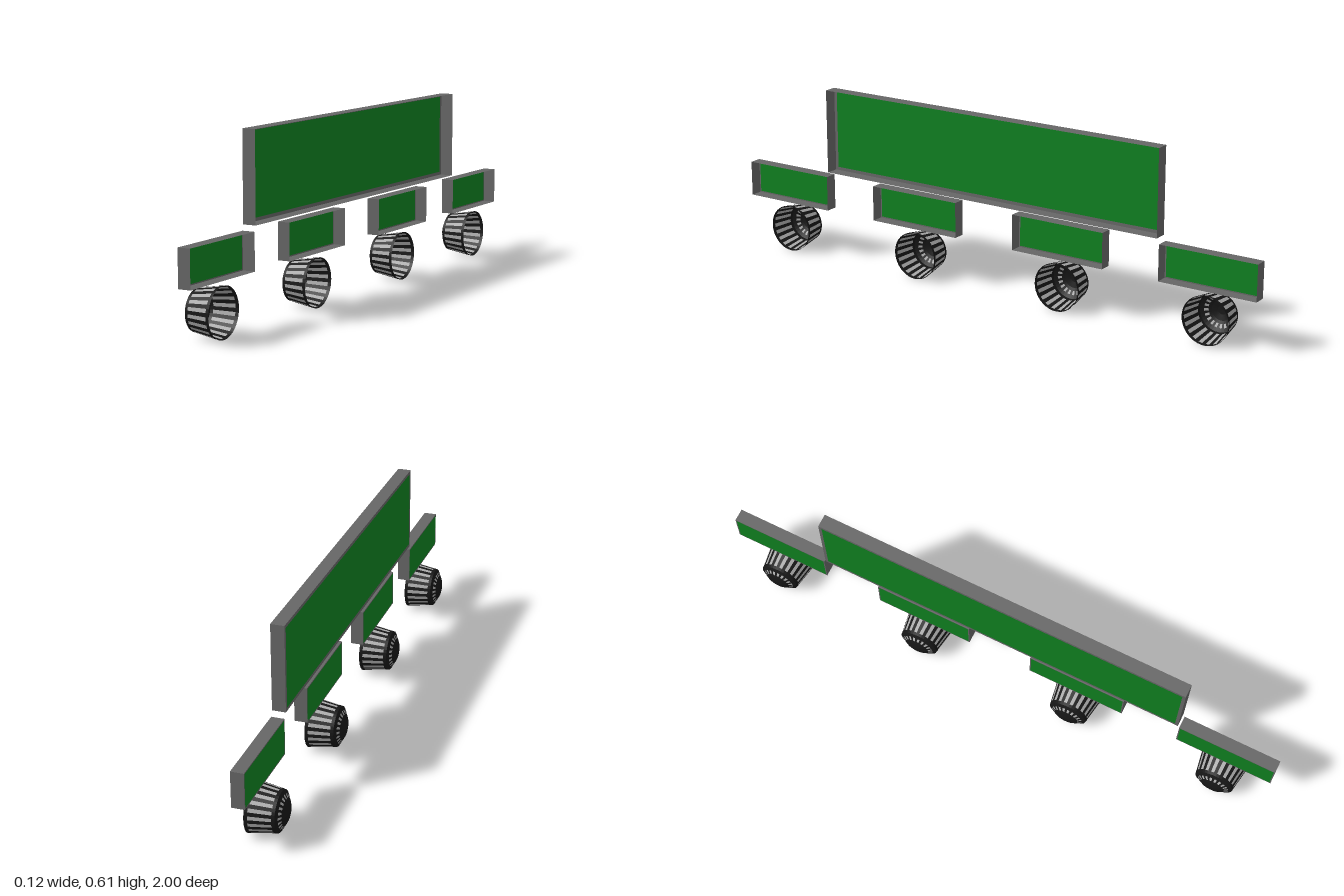
import * as THREE from 'three';
import { mergeGeometries } from 'three/addons/utils/BufferGeometryUtils.js';

const mat = (color, flatShading = false) => {
  const m = new THREE.MeshStandardMaterial({ side: THREE.DoubleSide, flatShading });
  m.color.set(color);
  return m;
};
const frameMat = mat(0x666666);
const greenMat = mat(0x0f8020);
const darkMat = mat(0x161616, true);
const ribMat = mat(0xaaaaaa, true);

const FRONT = 0.058; // x of the open rims

function add(parent, name, geometry, material) {
  const mesh = new THREE.Mesh(geometry, material);
  mesh.name = name;
  parent.add(mesh);
  return mesh;
}

// Rectangle in the y-z plane, optionally with an inset rectangular hole
function rectangle(length, height, hole) {
  const corners = (l, h) => [[-l, -h], [l, -h], [l, h], [-l, h]].map(([x, y]) => new THREE.Vector2(x / 2, y / 2));
  const shape = new THREE.Shape(corners(length, height));
  if (hole) shape.holes.push(new THREE.Path(corners(length - 2 * hole, height - 2 * hole).reverse()));
  return new THREE.ShapeGeometry(shape).rotateY(Math.PI / 2);
}

// Shallow tray, open towards +x, with a green screen as its floor
function createDisplay(name, length, height, backX, lip) {
  const display = new THREE.Group();
  display.name = name;
  const depth = FRONT - backX;
  const walls = new THREE.BoxGeometry(depth, height, length);
  walls.setIndex(Array.from(walls.index.array).slice(12)); // drop both x faces
  walls.clearGroups();
  add(display, 'frameWalls', walls, frameMat).position.x = backX + depth / 2;
  add(display, 'frameLip', rectangle(length, height, lip), frameMat).position.x = backX;
  add(display, 'screen', rectangle(length - 2 * lip, height - 2 * lip), greenMat).position.x = backX;
  return display;
}

// Tapered knob shell: dark, with light strips set into every other segment
function createKnob() {
  const knob = new THREE.Group();
  knob.name = 'knob';
  const count = 20, step = Math.PI / count;
  // [radius, height along the axis], from the open rim to the domed tip
  const profile = [
    [0.082, -0.058], [0.0803, -0.047], [0.0687, 0.025], [0.067, 0.035],
    [0.0555, 0.0415], [0.043, 0.0485], [0.034, 0.053], [0.015, 0.058], [0, 0.059],
  ].map(([r, h]) => new THREE.Vector2(r, h));
  const dark = [], light = [];
  for (let i = 0; i < count; i++) {
    const phi = 2 * i * step;
    const strip = (list, from, to, start) =>
      list.push(new THREE.LatheGeometry(profile.slice(from, to + 1), 1, start, step));
    strip(dark, 0, 8, phi);
    strip(dark, 0, 1, phi + step);
    strip(light, 1, 2, phi + step);
    strip(dark, 2, 4, phi + step);
    strip(light, 4, 5, phi + step);
    strip(dark, 5, 8, phi + step);
  }
  add(knob, 'knobShell', mergeGeometries(dark), darkMat);
  add(knob, 'knobStrips', mergeGeometries(light), ribMat);
  knob.rotation.z = Math.PI / 2; // tip points to -x
  return knob;
}

export function createModel() {
  const model = new THREE.Group();
  model.name = 'displayPanelWithKnobs';

  const main = createDisplay('mainDisplay', 1.3, 0.292, 0.013, 0.011);
  main.position.set(0, 0.464, 0.002);
  model.add(main);

  // Four small displays, each with a knob below it
  const columns = [[0.829, 0.829], [0.287, 0.286], [-0.281, -0.281], [-0.827, -0.825]];
  for (const [displayZ, knobZ] of columns) {
    const small = createDisplay('smallDisplay', 0.342, 0.122, 0.015, 0.004);
    small.position.set(0, 0.239, displayZ);
    const knob = createKnob();
    knob.position.set(0, 0.082, knobZ);
    model.add(small, knob);
  }
  return model;
}
